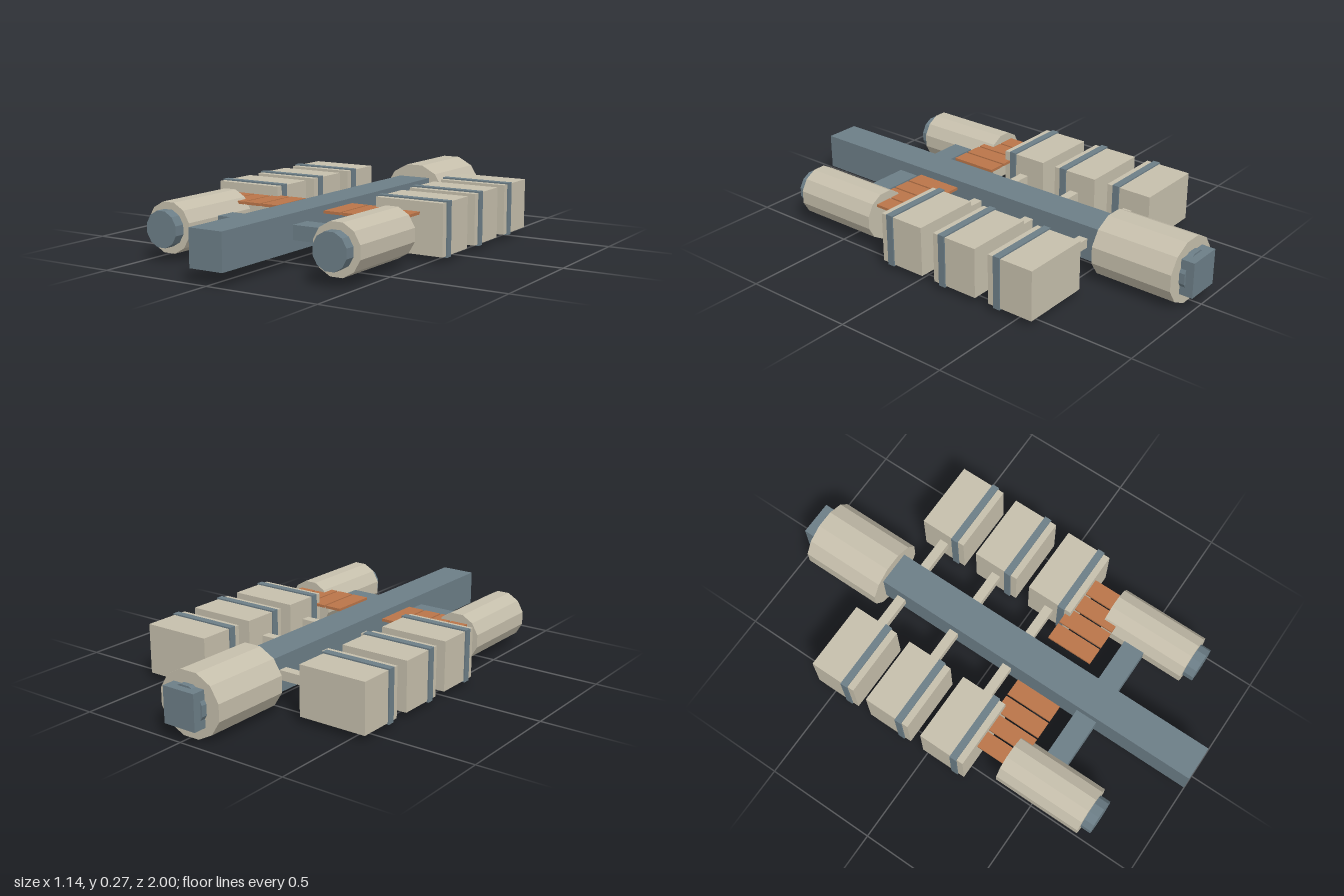
import * as THREE from 'three';

export function createModel() {
  const model = new THREE.Group();
  model.name = 'spaceStation';
  const MID = 0.138; // height of the main axis

  const mat = (name, color) => {
    const m = new THREE.MeshStandardMaterial({ color });
    m.name = name;
    return m;
  };
  const beige = mat('beigeHull', 0xc6bfac);
  const slate = mat('slateMetal', 0x6c7e87);
  const copper = mat('copperPanel', 0xba7549);

  const add = (name, geometry, material, x, y, z) => {
    const mesh = new THREE.Mesh(geometry, material);
    mesh.name = name;
    mesh.position.set(x, y, z);
    model.add(mesh);
    return mesh;
  };
  // Box centred at a point
  const box = (name, material, w, h, d, x, y, z) =>
    add(name, new THREE.BoxGeometry(w, h, d), material, x, y, z);
  // Twelve-sided drum along z from z0 to z1, with flats on top and bottom
  const drum = (name, material, rx, ry, x, y, z0, z1) => {
    const g = new THREE.CylinderGeometry(1, 1, z1 - z0, 12).toNonIndexed();
    g.rotateY(Math.PI / 12).rotateX(Math.PI / 2).scale(rx, ry, 1);
    g.computeVertexNormals();
    return add(name, g, material, x, y, (z0 + z1) / 2);
  };

  // Central spine
  box('spine', slate, 0.156, 0.156, 2, 0, MID, 0);

  // Rear tank with its end collar
  drum('rearTank', beige, 0.154, 0.141, 0, 0.1365, -0.94, -0.568);
  drum('rearCollar', slate, 0.09, 0.09, 0, 0.1365, -0.965, -0.93);

  for (const side of [1, -1]) {
    // Cargo pods with strap and strut
    for (const z of [-0.475, -0.193, 0.088]) {
      box('pod', beige, 0.314, 0.22, 0.215, side * 0.406, MID, z);
      box('podStrap', slate, 0.326, 0.232, 0.032, side * 0.406, MID, z + 0.0615);
      box('podStrut', beige, 0.2, 0.042, 0.042, side * 0.165, MID, z);
    }

    // Front tank, nozzle and cross arm
    drum('frontTank', beige, 0.109, 0.109, side * 0.405, MID, 0.328, 0.733);
    drum('frontNozzle', slate, 0.078, 0.078, side * 0.405, MID, 0.72, 0.78);
    box('crossArm', slate, 0.3, 0.062, 0.098, side * 0.2, MID, 0.497);

    // Radiator panels
    for (let i = 0; i < 4; i++) {
      box('radiatorPanel', copper, 0.078, 0.012, 0.214, side * (0.156 + i * 0.0872), 0.2, 0.278);
    }
  }
  return model;
}
